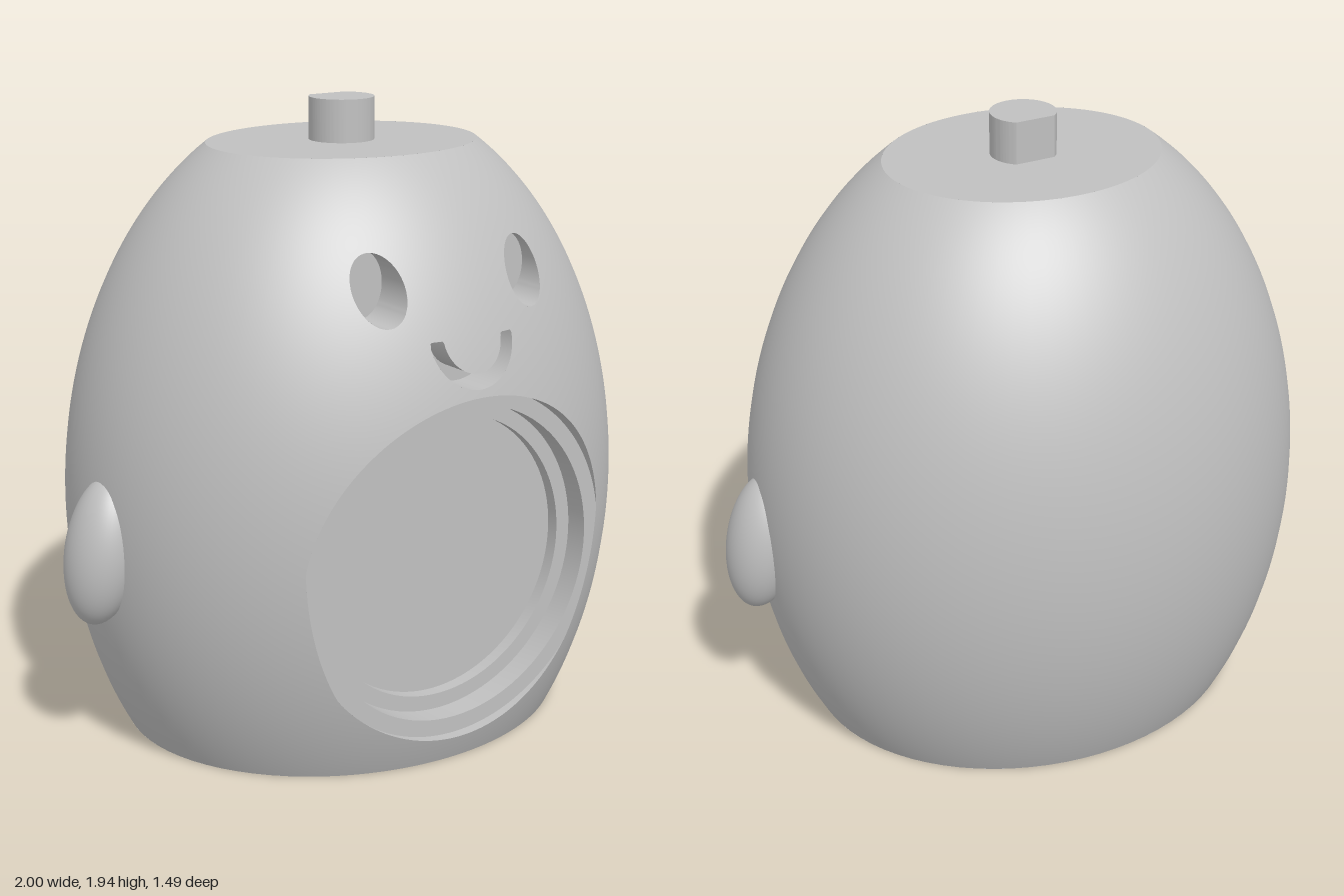
import * as THREE from 'three';
import { toCreasedNormals } from 'three/addons/utils/BufferGeometryUtils.js';

// Body ellipsoid: semi-axes, centre and the heights where it is cut flat
const A = 0.9, B = 1.23, C = 0.77, CY = 0.73, CZ = 0.025, TOP = 1.81;
const RECESS_Y = 0.622, RECESS_R = 0.54, STEP_Z = 0.645;
const EYE = { x: 0.255, y: 1.475, rx: 0.075, ry: 0.1 };
const SMILE = { y: 1.33, outer: 0.145, inner: 0.1 };

const grey = new THREE.MeshStandardMaterial({ color: 0xc0c0c0, side: THREE.DoubleSide });
grey.name = 'grey';

const section = (y) => Math.sqrt(1 - ((y - CY) / B) ** 2);
const surfaceZ = (x, y) => CZ + C * Math.sqrt(Math.max(0, 1 - (x / A) ** 2 - ((y - CY) / B) ** 2));

function mesh(name, geometry) {
  const m = new THREE.Mesh(geometry, grey);
  m.name = name;
  return m;
}

// Negative inside any opening of the front
function openingDistance([x, y, z]) {
  if (z < 0.3) return 1;
  const recess = Math.max(Math.hypot(x, y - RECESS_Y) - RECESS_R, STEP_Z - z);
  const eye = (Math.hypot((Math.abs(x) - EYE.x) / EYE.rx, (y - EYE.y) / EYE.ry) - 1) * 0.08;
  const r = Math.hypot(x, y - SMILE.y);
  const smile = Math.max(r - SMILE.outer, SMILE.inner - r, y - SMILE.y);
  return Math.min(recess, eye, smile);
}

// Ellipsoid shell, finer at the front, with triangles clipped at the openings
function shellGeometry() {
  const angles = [], rows = 150, half = 0.75;
  for (let i = 0; i < 110; i++) angles.push(-half + (2 * half * i) / 110);
  for (let i = 0; i <= 60; i++) angles.push(half + ((2 * Math.PI - 2 * half) * i) / 60);
  const point = (a, j) => {
    const y = (TOP * j) / rows, s = section(y);
    return [A * s * Math.sin(a), y, CZ + C * s * Math.cos(a)];
  };
  const positions = [], normals = [];
  const add = (p) => {
    positions.push(...p);
    const n = new THREE.Vector3(p[0] / A ** 2, (p[1] - CY) / B ** 2, (p[2] - CZ) / C ** 2).normalize();
    normals.push(n.x, n.y, n.z);
  };
  const addClipped = (tri) => {
    const d = tri.map(openingDistance), kept = [];
    tri.forEach((p, i) => {
      const k = (i + 1) % 3;
      if (d[i] >= 0) kept.push(p);
      if ((d[i] >= 0) !== (d[k] >= 0)) {
        const t = d[i] / (d[i] - d[k]);
        kept.push(p.map((v, c) => v + (tri[k][c] - v) * t));
      }
    });
    for (let i = 2; i < kept.length; i++) [kept[0], kept[i - 1], kept[i]].forEach(add);
  };
  for (let j = 0; j < rows; j++) {
    for (let i = 0; i < angles.length - 1; i++) {
      const a = point(angles[i], j), b = point(angles[i + 1], j);
      const c = point(angles[i + 1], j + 1), d = point(angles[i], j + 1);
      addClipped([a, b, c]);
      addClipped([a, c, d]);
    }
  }
  const g = new THREE.BufferGeometry();
  g.setAttribute('position', new THREE.Float32BufferAttribute(positions, 3));
  g.setAttribute('normal', new THREE.Float32BufferAttribute(normals, 3));
  return g;
}

// Closed outline around (cx, cy), anticlockwise
function outline(cx, cy, rx, ry = rx, n = 96) {
  return Array.from({ length: n }, (_, i) => {
    const a = (2 * Math.PI * i) / n;
    return new THREE.Vector2(cx + rx * Math.cos(a), cy + ry * Math.sin(a));
  });
}

// Pocket sunk along z: inward wall from rim(x, y) to a flat floor, which may have a hole
function pocket(name, pts, rim, floorZ, hole) {
  const group = new THREE.Group();
  group.name = name;
  const pos = [];
  pts.forEach((p, i) => {
    const q = pts[(i + 1) % pts.length];
    const a = [p.x, p.y, rim(p.x, p.y)], b = [q.x, q.y, rim(q.x, q.y)];
    const c = [q.x, q.y, floorZ], d = [p.x, p.y, floorZ];
    pos.push(...a, ...b, ...d, ...b, ...c, ...d);
  });
  const wall = new THREE.BufferGeometry();
  wall.setAttribute('position', new THREE.Float32BufferAttribute(pos, 3));
  const shape = new THREE.Shape(pts);
  if (hole) shape.holes.push(new THREE.Path(hole));
  const floor = new THREE.ShapeGeometry(shape);
  floor.translate(0, 0, floorZ);
  group.add(mesh(name + 'Wall', toCreasedNormals(wall, 0.6)), mesh(name + 'Floor', floor));
  return group;
}

// Outer recess outline: a circle limited to the body's section at the step depth
function recessOutline() {
  const k = Math.sqrt(1 - ((STEP_Z - CZ) / C) ** 2), ex = A * k, ey = B * k, o = RECESS_Y - CY;
  return outline(0, 0, 1, 1, 160).map((u) => {
    const a = (u.x / ex) ** 2 + (u.y / ey) ** 2, b = (u.y * o) / ey ** 2, c = (o / ey) ** 2 - 1;
    const r = Math.min(RECESS_R, (-b + Math.sqrt(b * b - a * c)) / a);
    return new THREE.Vector2(u.x * r, RECESS_Y + u.y * r);
  });
}

export function createModel() {
  const model = new THREE.Group();
  model.name = 'eggFigure';
  model.add(mesh('bodyShell', shellGeometry()));

  // Flat top
  const top = new THREE.CircleGeometry(1, 96);
  top.rotateX(-Math.PI / 2).scale(A * section(TOP), 1, C * section(TOP)).translate(0, TOP, CZ);
  model.add(mesh('topFace', top));

  // Base rim with a shallow inset
  const profile = [[0, 0.02], [0.835, 0.02], [0.835, 0], [1, 0]].map((p) => new THREE.Vector2(...p));
  const base = new THREE.LatheGeometry(profile, 96);
  base.scale(A * section(0), 1, C * section(0)).translate(0, 0, CZ);
  model.add(mesh('base', toCreasedNormals(base, 0.6)));

  // Stepped round recess in the belly
  const ring = outline(0, RECESS_Y, 0.488), disc = outline(0, RECESS_Y, 0.44);
  model.add(pocket('bellyRecess', recessOutline(), surfaceZ, STEP_Z, ring));
  model.add(pocket('bellyRing', ring, () => STEP_Z, 0.57, disc));
  model.add(pocket('bellyDisc', disc, () => 0.57, 0.53));

  // Smile
  const arc = (r, from, to) => Array.from({ length: 33 }, (_, i) => {
    const a = from + ((to - from) * i) / 32;
    return new THREE.Vector2(r * Math.cos(a), SMILE.y + r * Math.sin(a));
  });
  const lips = [...arc(SMILE.outer, Math.PI, 2 * Math.PI), ...arc(SMILE.inner, 2 * Math.PI, Math.PI)];
  model.add(pocket('smile', lips, surfaceZ, 0.62));

  // Eyes and arms
  for (const [side, s] of [['left', 1], ['right', -1]]) {
    model.add(pocket(side + 'Eye', outline(s * EYE.x, EYE.y, EYE.rx, EYE.ry, 64), surfaceZ, 0.5));
    const arm = mesh(side + 'Arm', new THREE.SphereGeometry(1, 48, 32));
    arm.scale.set(0.11, 0.228, 0.12);
    arm.rotation.z = s * 0.2;
    arm.position.set(s * 0.883, 0.678, 0.083);
    model.add(arm);
  }

  // Peg with a flat back
  const peg = new THREE.Shape();
  peg.absarc(0, 0, 0.1, Math.PI - 0.88, 2 * Math.PI + 0.88, false);
  peg.closePath();
  const pegGeometry = new THREE.ExtrudeGeometry(peg, { depth: 0.13, bevelEnabled: false, curveSegments: 48 });
  pegGeometry.rotateX(-Math.PI / 2).translate(0, TOP, 0.022);
  model.add(mesh('topPeg', toCreasedNormals(pegGeometry, 0.5)));
  return model;
}
